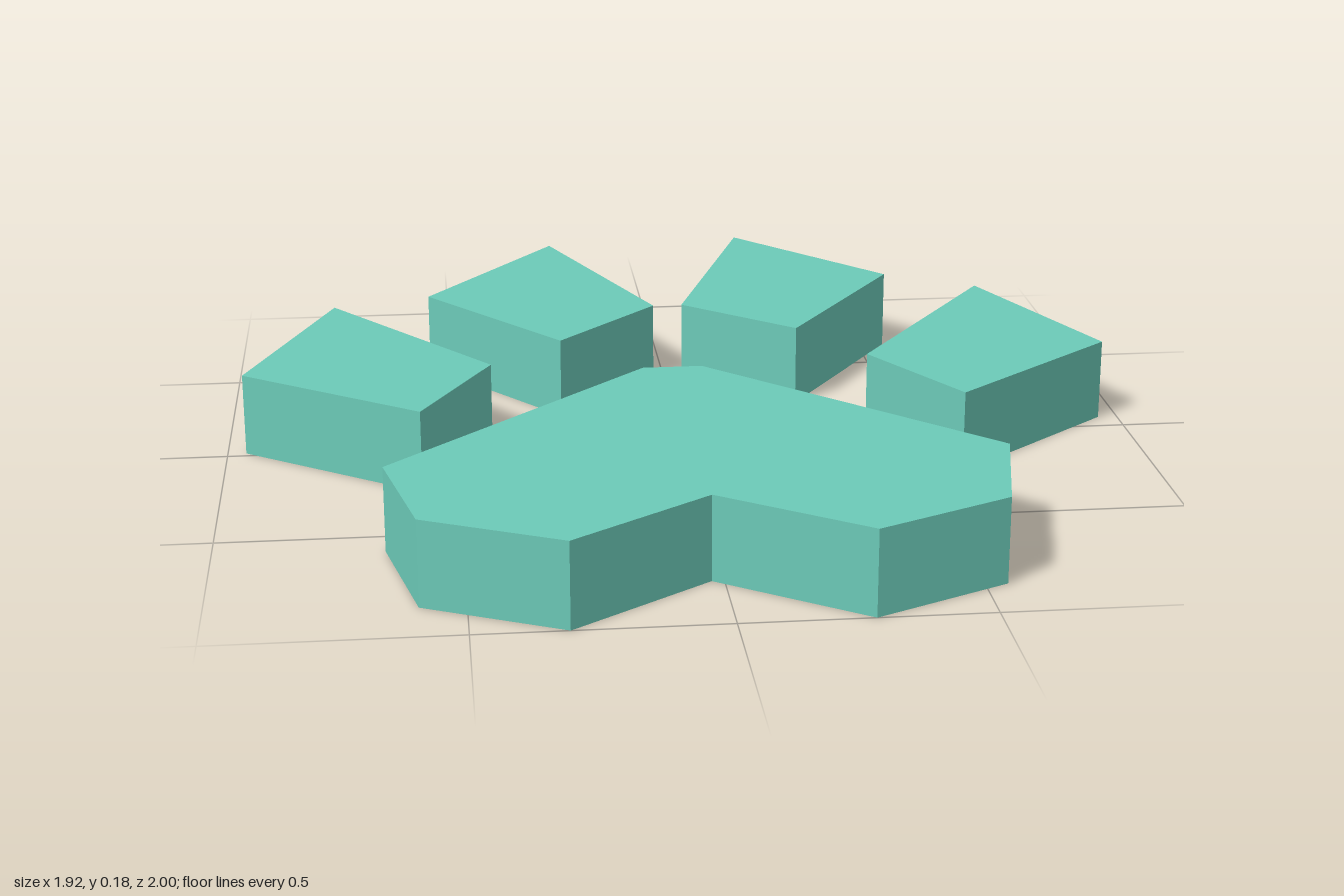
import * as THREE from 'three';

const HEIGHT = 0.18;

// Upright slab from an outline of [x, z] corners, standing on y = 0
function slab(name, outline, material) {
  const shape = new THREE.Shape(outline.map(([x, z]) => new THREE.Vector2(x, z)));
  const geometry = new THREE.ExtrudeGeometry(shape, { depth: HEIGHT, bevelEnabled: false });
  geometry.rotateX(Math.PI / 2).translate(0, HEIGHT, 0);
  const mesh = new THREE.Mesh(geometry, material);
  mesh.name = name;
  return mesh;
}

export function createModel() {
  const group = new THREE.Group();
  group.name = 'pawPrint';
  const material = new THREE.MeshStandardMaterial({ color: 0x6ccab8, flatShading: true });

  const parts = {
    // Large heel pad with a notch at the front
    heelPad: [[-0.09, 0.02], [0.04, 0.02], [0.605, 0.575], [0.545, 0.865], [0.265, 1],
      [-0.025, 0.795], [-0.312, 1], [-0.592, 0.865], [-0.655, 0.58]],
    // Four kite-shaped toes
    outerRightToe: [[-0.77, -0.495], [-0.42, -0.035], [-0.578, 0.26], [-0.96, -0.015]],
    innerRightToe: [[-0.24, -0.97], [-0.025, -0.435], [-0.258, -0.19], [-0.55, -0.56]],
    innerLeftToe: [[0.235, -1], [0.56, -0.635], [0.285, -0.228], [0.042, -0.435]],
    outerLeftToe: [[0.76, -0.518], [0.957, -0.058], [0.58, 0.255], [0.415, -0.025]],
  };
  for (const [name, outline] of Object.entries(parts)) group.add(slab(name, outline, material));
  return group;
}
